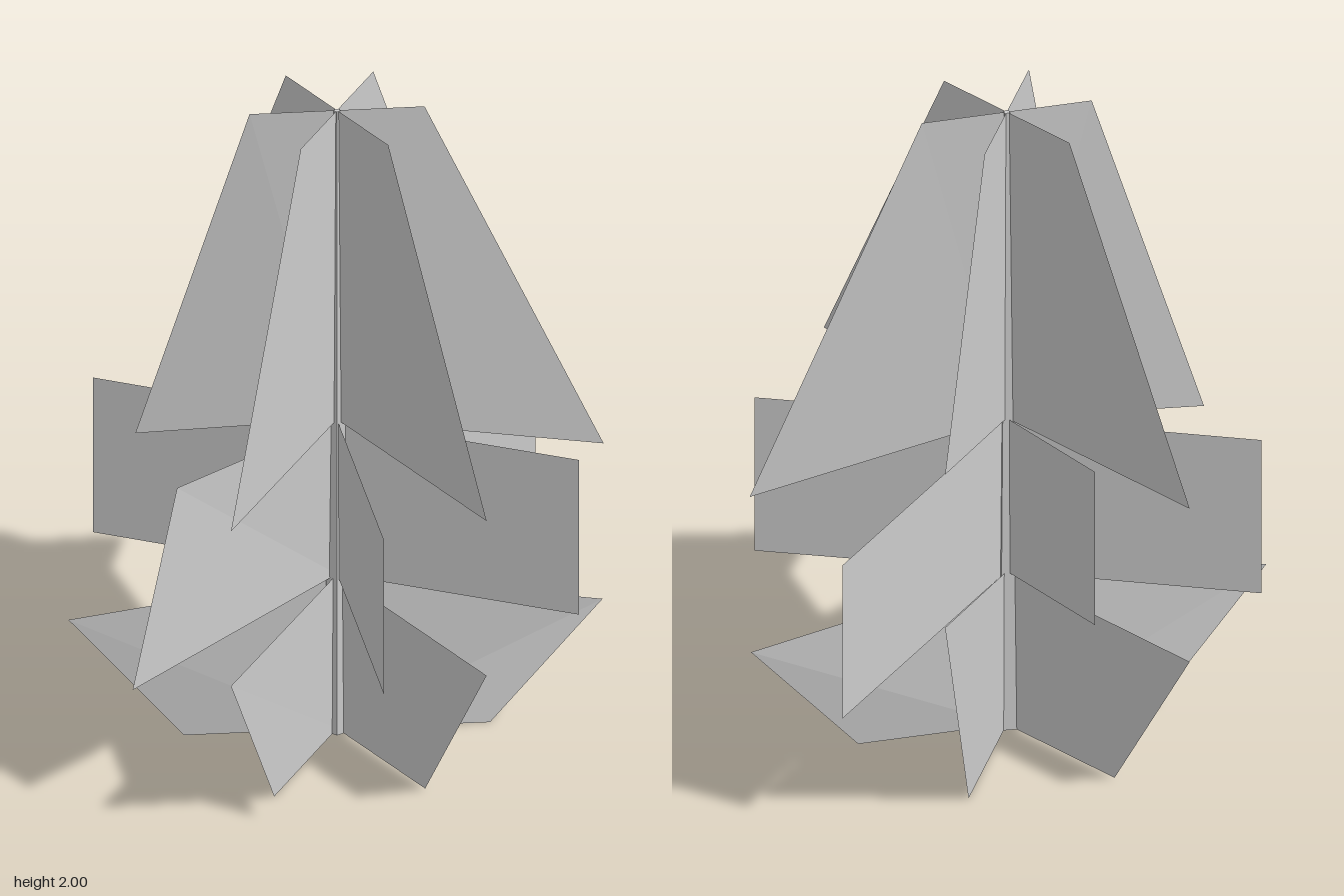
import * as THREE from 'three';

export function createModel() {
  const tree = new THREE.Group();
  const material = new THREE.MeshStandardMaterial({
    color: 0xcccccc, flatShading: true, side: THREE.DoubleSide,
  });

  // Thin five-sided trunk tapering towards the top
  const trunk = new THREE.Mesh(new THREE.CylinderGeometry(0.01, 0.04, 2, 5), material);
  trunk.name = 'trunk';
  trunk.rotation.y = Math.PI;
  trunk.position.y = 1;
  tree.add(trunk);

  // One leaf blade: a quad from the trunk axis out to two outer corners
  function blade(low, high, outerLow, outerHigh) {
    const geometry = new THREE.BufferGeometry();
    const points = [0, low, 0, ...outerLow, ...outerHigh, 0, high, 0];
    geometry.setAttribute('position', new THREE.Float32BufferAttribute(points, 3));
    geometry.setIndex([0, 1, 2, 0, 2, 3]);
    geometry.computeVertexNormals();
    return new THREE.Mesh(geometry, material);
  }

  // Three tiers of six blades, each blade listed by its two outer corners
  const tiers = [
    {
      name: 'lowerFoliage', low: 0, high: 0.5, blades: [
        [[0, 0, 0.43], [0, 0.5, 0.73]],
        [[0.375, 0, 0.22], [0.67, 0.365, 0.355]],
        [[0.375, 0, -0.22], [0.61, 0.71, -0.36]],
        [[0, 0, -0.43], [0, 0.5, -0.73]],
        [[-0.375, 0, -0.22], [-0.67, 0.4, -0.37]],
        [[-0.375, 0, 0.22], [-0.625, 0.5, 0.36]],
      ],
    },
    {
      name: 'middleFoliage', low: 0.5, high: 1, blades: [
        [[0.42, 0.5, 0.59], [0.42, 1, 0.59]],
        [[0.76, 0.37, -0.1], [0.76, 0.87, -0.1]],
        [[0.3, 0.71, -0.65], [0.3, 1.21, -0.65]],
        [[-0.42, 0.5, -0.6], [-0.42, 1, -0.6]],
        [[-0.76, 0.4, 0.07], [-0.57, 0.97, 0.02]],
        [[-0.3, 0.5, 0.65], [-0.3, 1, 0.65]],
      ],
    },
    {
      name: 'upperFoliage', low: 1, high: 2, blades: [
        [[0, 1, 0.73], [0, 2, 0.25]],
        [[0.67, 0.87, 0.36], [0.215, 2, 0.125]],
        [[0.61, 1.21, -0.36], [0.215, 2, -0.125]],
        [[0, 1, -0.73], [0, 2, -0.25]],
        [[-0.48, 0.97, -0.31], [-0.215, 2, -0.125]],
        [[-0.625, 1, 0.36], [-0.215, 2, 0.125]],
      ],
    },
  ];

  for (const { name, low, high, blades } of tiers) {
    const tier = new THREE.Group();
    tier.name = name;
    blades.forEach(([outerLow, outerHigh], i) => {
      const leaf = blade(low, high, outerLow, outerHigh);
      leaf.name = `${name}Blade${i + 1}`;
      tier.add(leaf);
    });
    tree.add(tier);
  }

  return tree;
}
